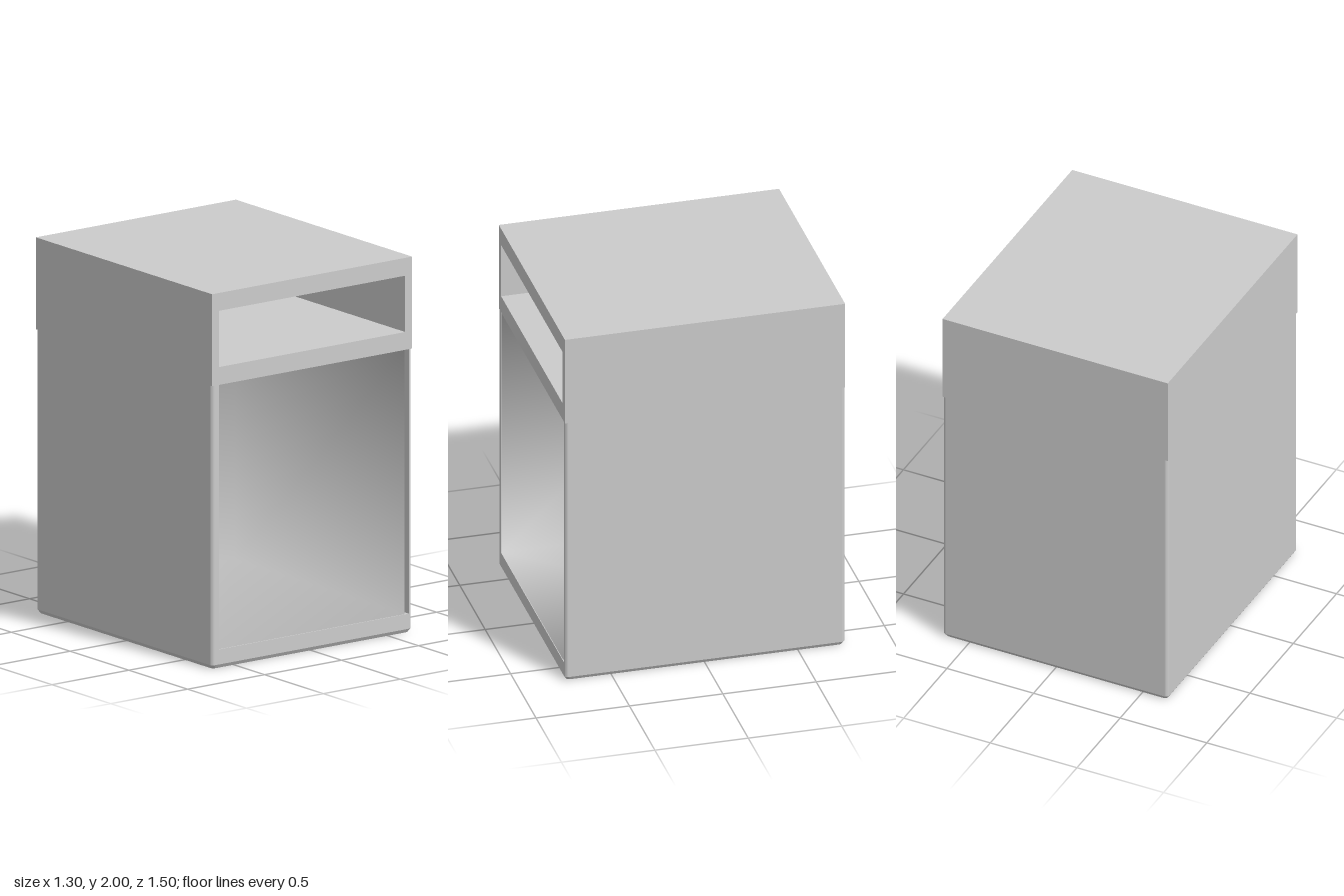
import * as THREE from 'three';
import { mergeVertices } from 'three/addons/utils/BufferGeometryUtils.js';

const W = 0.65, D = 0.75, H = 2;        // half width, half depth, height
const SPLIT = 1.51, BASE = 0.1, IN = 0.605, BACK = -0.7, R = 0.02;

export function createModel() {
  const group = new THREE.Group();
  const material = new THREE.MeshStandardMaterial({ color: 0xcccccc });
  const add = (name, geometry) => {
    const mesh = new THREE.Mesh(geometry, material);
    mesh.name = name;
    group.add(mesh);
    return mesh;
  };

  // Trace a plan outline with rounded outer corners
  const roundedPlan = (notched) => {
    const s = new THREE.Shape();
    s.moveTo(-W + R, -D);
    s.absarc(W - R, -D + R, R, -Math.PI / 2, 0);
    s.absarc(W - R, D - R, R, 0, Math.PI / 2);
    if (notched) { // the opening in the rear-walled U; shape y is -z
      s.lineTo(-W + R, D);
    }
    s.absarc(-W + R, D - R, R, Math.PI / 2, Math.PI);
    s.absarc(-W + R, -D + R, R, Math.PI, Math.PI * 1.5);
    if (notched) {
      s.lineTo(-IN, -D);
      s.lineTo(-IN, -BACK);
      s.lineTo(IN, -BACK);
      s.lineTo(IN, -D);
    }
    return s;
  };
  const upright = (shape, y0, y1, steps = 1) =>
    new THREE.ExtrudeGeometry(shape, { depth: y1 - y0, steps, bevelEnabled: false, curveSegments: 5 })
      .rotateX(-Math.PI / 2).translate(0, y0, 0);

  // Base slab, drawn in slightly at its bottom edge
  const base = upright(roundedPlan(false), 0, BASE, 5);
  const p = base.attributes.position;
  for (let i = 0; i < p.count; i++) {
    if (p.getY(i) < 0.001) {
      p.setX(i, p.getX(i) * (W - 0.012) / W);
      p.setZ(i, p.getZ(i) * (D - 0.012) / D);
    }
  }
  base.computeVertexNormals();
  add('base', base);

  // Side and rear walls of the lower compartment, as one U in plan
  const u = new THREE.Shape();
  u.moveTo(IN, -D);
  u.absarc(W - R, -D + R, R, -Math.PI / 2, 0);
  u.absarc(W - R, D - R, R, 0, Math.PI / 2);
  u.absarc(-W + R, D - R, R, Math.PI / 2, Math.PI);
  u.absarc(-W + R, -D + R, R, Math.PI, Math.PI * 1.5);
  [[-IN, -D], [-IN, -BACK_Z()], [IN, -BACK_Z()]].forEach(([x, y]) => u.lineTo(x, y));
  add('lowerWalls', upright(u, BASE, SPLIT));

  // Softly shaded lining of the lower compartment, open at the front
  const e = 0.001, front = D - 0.003;
  const box = new THREE.BoxGeometry(2 * (IN - e), SPLIT - BASE - 2 * e, front - BACK - e);
  box.setIndex(Array.from(box.index.array).filter((_, i) => i < 24 || i >= 30));
  box.deleteAttribute('normal');
  box.deleteAttribute('uv');
  const lining = mergeVertices(box.scale(-1, 1, 1));
  lining.computeVertexNormals();
  add('compartmentLining', lining).position.set(0, (BASE + SPLIT) / 2, (front + BACK + e) / 2);

  // Square-edged upper section around the drawer slot
  const frame = new THREE.Shape();
  frame.moveTo(-W, SPLIT);
  [[W, SPLIT], [W, H], [-W, H]].forEach(([x, y]) => frame.lineTo(x, y));
  const slot = new THREE.Path();
  slot.moveTo(-IN, 1.605);
  [[-IN, 1.905], [IN, 1.905], [IN, 1.605]].forEach(([x, y]) => slot.lineTo(x, y));
  frame.holes.push(slot);
  add('drawerSlotFrame', new THREE.ExtrudeGeometry(frame, { depth: D - BACK, bevelEnabled: false })
    .translate(0, 0, BACK));
  add('upperBack', new THREE.BoxGeometry(2 * W, H - SPLIT, D + BACK))
    .position.set(0, (H + SPLIT) / 2, (BACK - D) / 2);

  return group;
}

// Rear inner face of the compartment
function BACK_Z() { return BACK; }
